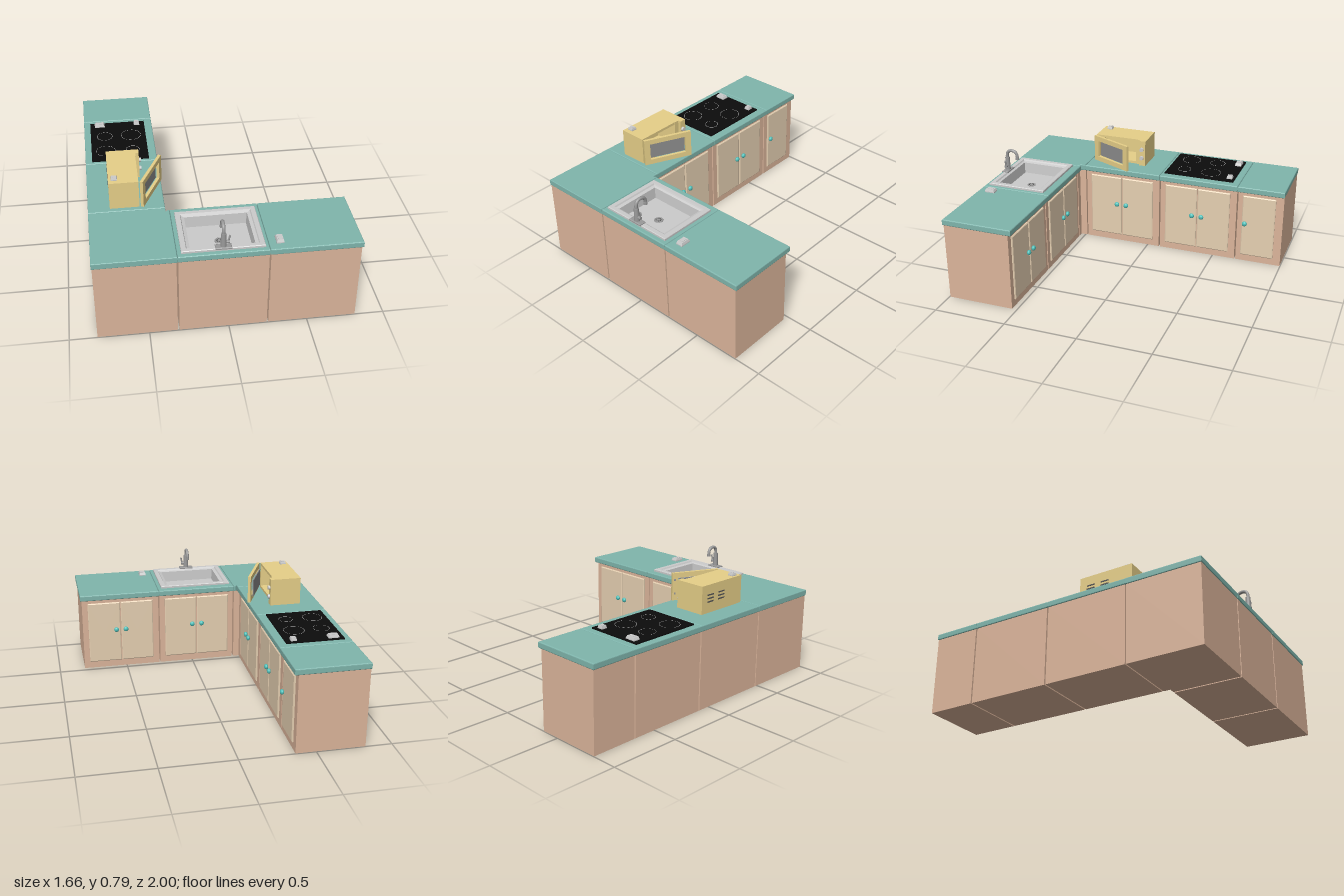
import * as THREE from 'three';

const mat = (color, extra = {}) => new THREE.MeshStandardMaterial({ color, ...extra });
const M = {
  top: mat(0x7fb5ac), body: mat(0xdcb59b), door: mat(0xe6d0b2), knob: mat(0x4fc0ba),
  oven: mat(0xe6cf88), black: mat(0x0c0c0c), dark: mat(0x555555),
  grey: mat(0xcccccc), steel: mat(0x999999),
};
const TOP = 0.58, BODY = 0.54;

function add(parent, name, geo, material, x = 0, y = 0, z = 0) {
  const m = new THREE.Mesh(geo, material);
  m.name = name;
  m.position.set(x, y, z);
  parent.add(m);
  return m;
}
const box = (w, h, d) => new THREE.BoxGeometry(w, h, d);
const rectPts = (x0, x1, z0, z1) => [[x0, z0], [x1, z0], [x1, z1], [x0, z1]];

// Plan outline [x, z] extruded down from the given height, with optional hole
function slab(pts, top, h, bevel = 0, hole = null) {
  const v = (a) => a.map(([x, z]) => new THREE.Vector2(x, z));
  const shape = new THREE.Shape(v(pts));
  if (hole) shape.holes.push(new THREE.Path(v(hole)));
  const geo = new THREE.ExtrudeGeometry(shape, {
    depth: h - 2 * bevel, bevelEnabled: bevel > 0, bevelSize: bevel,
    bevelThickness: bevel, bevelOffset: -bevel, bevelSegments: 3,
  });
  return geo.rotateX(Math.PI / 2).translate(0, top - bevel, 0);
}

// Rectangular sections [halfX, halfZ, y] joined by flat faces
function rectLoft(sections) {
  const ring = ([a, b, y]) => [[-a, y, -b], [a, y, -b], [a, y, b], [-a, y, b]];
  const p = [];
  for (let s = 0; s + 1 < sections.length; s++) {
    const lo = ring(sections[s]), hi = ring(sections[s + 1]);
    for (let i = 0; i < 4; i++) {
      const j = (i + 1) % 4;
      p.push(...lo[i], ...hi[i], ...hi[j], ...lo[i], ...hi[j], ...lo[j]);
    }
  }
  const g = new THREE.BufferGeometry();
  g.setAttribute('position', new THREE.Float32BufferAttribute(p, 3));
  g.computeVertexNormals();
  return g;
}

// Small tapered switch box with a raised button
function switchBox(parent, name, x, y, z, w, d, h = 0.022) {
  const a = w / 2, b = d / 2;
  add(parent, name, rectLoft([[a, b, 0], [a, b, h * 0.3], [a * 0.8, b * 0.8, h], [0, 0, h]]), M.grey, x, y, z);
  add(parent, name + 'Button', box(w * 0.5, 0.004, d * 0.5), M.grey, x, y + h, z);
}

// Doors and knobs on a cabinet front, facing local +z
function doors(parent, centers, w, knobs) {
  const h = 0.46, a = w / 2, b = h / 2;
  for (const x of centers) {
    const g = rectLoft([[a, b, 0], [a, b, 0.007], [a - 0.006, b - 0.006, 0.011], [0, 0, 0.011]]);
    add(parent, 'door', g.rotateX(Math.PI / 2), M.door, x, 0.28, 0);
  }
  for (const x of knobs) {
    const stem = new THREE.CylinderGeometry(0.008, 0.008, 0.02, 12).rotateX(Math.PI / 2);
    add(parent, 'knobStem', stem, M.knob, x, 0.3, 0.012);
    add(parent, 'knob', new THREE.SphereGeometry(0.018, 20, 14).scale(1, 1, 0.75), M.knob, x, 0.3, 0.021);
  }
}

function frontOf(parent, name, x, z, turn, ...args) {
  const g = new THREE.Group();
  g.name = name;
  g.position.set(x, 0, z);
  g.rotation.y = turn;
  doors(g, ...args);
  parent.add(g);
}

function cabinets(root) {
  const pair = [[-0.121, 0.121], 0.236, [-0.035, 0.035]];
  // Side run, doors facing +x
  for (const [name, z0, z1, spec] of [
    ['endCabinet', -1, -0.667, [[0], 0.235, [-0.095]]],
    ['hobCabinet', -0.665, -0.092, pair],
    ['ovenCabinet', -0.09, 0.483, pair],
  ]) {
    add(root, name, slab(rectPts(-0.825, -0.365, z0 + 0.004, z1 - 0.004), BODY, BODY), M.body);
    add(root, name + 'Worktop', slab(rectPts(-0.83, -0.34, z0, z1), TOP, 0.042, 0.007), M.top);
    frontOf(root, name + 'Front', -0.365, name === 'endCabinet' ? -0.823 : (z0 + z1) / 2 + 0.005, Math.PI / 2, ...spec);
  }
  // Corner unit with a notched inner corner
  const L = (x0, x1, xi, z0, z1, zi) => [[x0, z0], [xi, z0], [xi, zi], [x1, zi], [x1, z1], [x0, z1]];
  add(root, 'cornerCabinet', slab(L(-0.825, -0.322, -0.365, 0.487, 0.996, 0.535), BODY, BODY), M.body);
  const inner = L(-0.83, -0.316, -0.34, 0.485, 1, 0.51);
  inner.splice(2, 1, [-0.34, 0.522], [-0.327, 0.51]);
  add(root, 'cornerWorktop', slab(inner, TOP, 0.042, 0.005), M.top);
  // Sink unit, hollow under the basin
  const hole = rectPts(-0.26, 0.195, 0.585, 0.945);
  add(root, 'sinkCabinet', slab(rectPts(-0.311, 0.243, 0.535, 0.996), BODY, BODY - 0.01, 0, hole), M.body);
  add(root, 'sinkCabinetFloor', slab(rectPts(-0.311, 0.243, 0.535, 0.996), 0.01, 0.01), M.body);
  add(root, 'sinkWorktop', slab(rectPts(-0.314, 0.247, 0.51, 1), TOP, 0.042, 0.007, hole), M.top);
  frontOf(root, 'sinkCabinetFront', -0.035, 0.535, Math.PI, ...pair);
  // Free end unit
  add(root, 'frontEndCabinet', slab(rectPts(0.253, 0.815, 0.535, 0.996), BODY, BODY), M.body);
  add(root, 'frontEndWorktop', slab(rectPts(0.249, 0.826, 0.51, 1), TOP, 0.042, 0.007), M.top);
  frontOf(root, 'frontEndCabinetFront', 0.535, 0.535, Math.PI, ...pair);
  switchBox(root, 'worktopSwitch', 0.318, TOP, 0.91, 0.048, 0.07);
}

function sink(root) {
  const g = new THREE.Group();
  g.name = 'sink';
  g.position.set(-0.033, TOP, 0.765);
  root.add(g);
  const rim = rectLoft([[0.257, 0.205, 0], [0.257, 0.205, 0.013], [0.253, 0.201, 0.017],
    [0.225, 0.175, 0.017], [0.22, 0.17, 0.008], [0.2, 0.157, 0.002], [0.195, 0.153, -0.075], [0, 0, -0.075]]);
  add(g, 'basin', rim, mat(0xcccccc, { side: THREE.DoubleSide }));
  const ring = new THREE.TorusGeometry(0.026, 0.004, 8, 28).rotateX(Math.PI / 2);
  add(g, 'drainRing', ring, M.steel, 0, -0.074, 0.01);
  add(g, 'drain', new THREE.CylinderGeometry(0.025, 0.025, 0.003, 28), M.steel, 0, -0.073, 0.01);
  for (let i = 0; i < 8; i++) {
    const a = i * Math.PI / 4;
    add(g, 'drainHole', new THREE.CylinderGeometry(0.004, 0.004, 0.002, 8), M.dark,
      Math.cos(a) * 0.015, -0.071, 0.01 + Math.sin(a) * 0.015);
  }
  // Tap: base plate, column, curved spout and side lever
  const t = new THREE.Group();
  t.name = 'tap';
  t.position.set(0, 0.015, 0.19);
  g.add(t);
  add(t, 'tapBase', rectLoft([[0.05, 0.024, 0], [0.05, 0.024, 0.007], [0.044, 0.018, 0.011], [0, 0, 0.011]]), M.steel);
  add(t, 'tapColumn', new THREE.CylinderGeometry(0.016, 0.019, 0.095, 24), M.steel, 0, 0.055, 0);
  const pts = [[0.09, 0], [0.12, 0], [0.145, -0.01], [0.155, -0.036], [0.145, -0.066], [0.118, -0.078], [0.105, -0.079]];
  const path = new THREE.CatmullRomCurve3(pts.map(([y, z]) => new THREE.Vector3(0, y, z)));
  add(t, 'spout', new THREE.TubeGeometry(path, 36, 0.011, 16), M.steel);
  add(t, 'spoutTip', new THREE.CylinderGeometry(0.013, 0.013, 0.016, 20), M.steel, 0, 0.1, -0.079);
  const pivot = new THREE.CylinderGeometry(0.01, 0.01, 0.03, 16).rotateZ(Math.PI / 2);
  add(t, 'leverPivot', pivot, M.steel, 0.022, 0.04, 0);
  add(t, 'lever', new THREE.CylinderGeometry(0.006, 0.005, 0.05, 12), M.steel, 0.033, 0.06, 0).rotation.z = -0.2;
}

function hob(root) {
  add(root, 'hobPlate', box(0.39, 0.01, 0.505), M.black, -0.59, TOP + 0.004, -0.367);
  for (const [x, z, r] of [[-0.687, -0.43, 0.055], [-0.5, -0.43, 0.07], [-0.687, -0.233, 0.067], [-0.5, -0.233, 0.047]]) {
    const ring = new THREE.RingGeometry(r - 0.0025, r, 48).rotateX(-Math.PI / 2);
    add(root, 'burnerRing', ring, M.grey, x, TOP + 0.0102, z);
  }
  switchBox(root, 'hobSwitch', -0.717, TOP + 0.008, -0.583, 0.072, 0.046);
  switchBox(root, 'hobButton', -0.45, TOP + 0.008, -0.583, 0.04, 0.04);
}

function microwave(root) {
  const g = new THREE.Group();
  g.name = 'microwave';
  g.position.y = TOP;
  root.add(g);
  const h = 0.19;
  // Housing with an open cavity towards +x
  const wall = 0.018;
  for (const y of [wall / 2, h - wall / 2]) add(g, 'housingPlate', box(0.19, wall, 0.388), M.oven, -0.595, y, 0.257);
  add(g, 'housingBack', box(wall, h - 2 * wall, 0.388), M.oven, -0.681, h / 2, 0.257);
  add(g, 'housingSide', box(0.172, h - 2 * wall, wall), M.oven, -0.586, h / 2, 0.442);
  add(g, 'controlBlock', box(0.172, h - 2 * wall, 0.08), M.oven, -0.586, h / 2, 0.103);
  add(g, 'controlPanel', box(0.026, h, 0.046), M.oven, -0.488, h / 2, 0.086);
  add(g, 'controlStrip', box(0.004, h, 0.034), M.oven, -0.499, h / 2, 0.126);
  for (const y of [0.06, 0.125]) {
    const dial = new THREE.CylinderGeometry(0.014, 0.016, 0.016, 20).rotateZ(-Math.PI / 2);
    add(g, 'dial', dial, M.grey, -0.469, y, 0.09);
  }
  for (const z of [0.145, 0.25]) for (const y of [0.075, 0.098, 0.121]) {
    add(g, 'vent', box(0.004, 0.009, 0.06), M.dark, -0.69, y, z);
  }
  switchBox(g, 'ovenSwitch', -0.652, h, 0.4, 0.042, 0.038, 0.018);
  // Door swung open; local x runs from hinge to free edge, outside faces local +z
  const d = new THREE.Group();
  d.name = 'microwaveDoor';
  d.position.set(-0.492, 0, 0.45);
  d.rotation.y = Math.atan2(0.305, 0.142);
  g.add(d);
  const frame = slab(rectPts(0, 0.335, 0, h), 0, 0.02, 0, rectPts(0.04, 0.295, 0.035, 0.155));
  add(d, 'doorFrame', frame.rotateX(-Math.PI / 2), M.oven);
  add(d, 'doorWindow', box(0.257, 0.122, 0.008), mat(0x8c8c8c), 0.1675, 0.095, -0.01);
  add(d, 'doorHandle', box(0.012, 0.11, 0.01), M.steel, 0.317, 0.095, 0.014);
  for (const y of [0.048, 0.142]) add(d, 'handleMount', box(0.012, 0.012, 0.014), M.steel, 0.317, y, 0.005);
}

export function createModel() {
  const root = new THREE.Group();
  root.name = 'kitchen';
  cabinets(root);
  sink(root);
  hob(root);
  microwave(root);
  return root;
}
